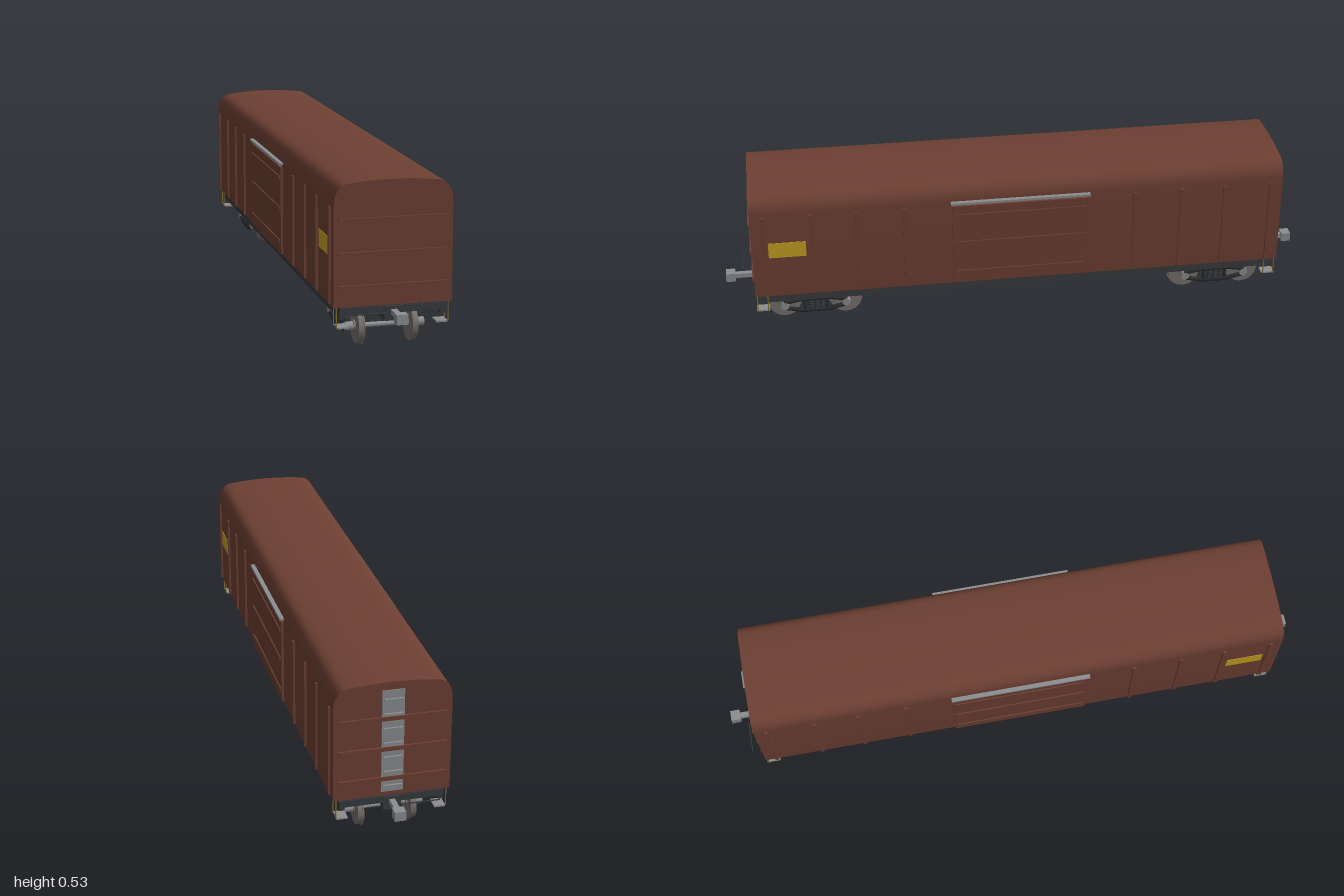
import * as THREE from 'three';
import { toCreasedNormals } from 'three/addons/utils/BufferGeometryUtils.js';

const mat = (color) => new THREE.MeshStandardMaterial({ color });
const brown = mat(0x6e4033), dark = mat(0x383b3e), black = mat(0x2a2b2d);
const steel = mat(0x8c8e90), wheelGrey = mat(0x77716d), yellow = mat(0xc9a224), olive = mat(0x8a7430);

function add(parent, name, geometry, material, x = 0, y = 0, z = 0) {
  const mesh = new THREE.Mesh(geometry, material);
  mesh.name = name;
  mesh.position.set(x, y, z);
  parent.add(mesh);
  return mesh;
}

// Box given by its x, y and z ranges
function box(parent, name, material, [x0, x1], [y0, y1], [z0, z1]) {
  const g = new THREE.BoxGeometry(Math.abs(x1 - x0), y1 - y0, Math.abs(z1 - z0));
  return add(parent, name, g, material, (x0 + x1) / 2, (y0 + y1) / 2, (z0 + z1) / 2);
}

// Cylinder lying along 'x' or 'z'
function rod(parent, name, material, r, length, axis, x, y, z, sides = 16) {
  const g = new THREE.CylinderGeometry(r, r, length, sides);
  if (axis === 'x') g.rotateZ(Math.PI / 2);
  if (axis === 'z') g.rotateX(Math.PI / 2);
  return add(parent, name, g, material, x, y, z);
}

function group(parent, name) {
  const g = new THREE.Group();
  g.name = name;
  parent.add(g);
  return g;
}

// Rounded-roof body shell
function buildBody(parent) {
  const half = [[0.185, 0.145], [0.185, 0.458], [0.183, 0.478], [0.179, 0.491], [0.172, 0.503],
    [0.164, 0.512], [0.154, 0.518], [0.14, 0.522], [0.105, 0.526], [0.07, 0.5285], [0.035, 0.5303]];
  const left = half.map(([x, y]) => [-x, y]).reverse();
  const shape = new THREE.Shape([...half, [0, 0.531], ...left].map(([x, y]) => new THREE.Vector2(x, y)));
  const g = new THREE.ExtrudeGeometry(shape, { depth: 1.8, bevelEnabled: false });
  g.translate(0, 0, -0.9);
  add(parent, 'bodyShell', toCreasedNormals(g, 0.6), brown);

  for (const s of [-1, 1]) {
    // Side ribs and corner posts
    for (const z of [0.39, 0.55, 0.7, 0.86]) for (const e of [-1, 1])
      box(parent, 'sideRib', brown, [s * 0.184, s * 0.192], [0.15, 0.45], [e * z - 0.006, e * z + 0.006]);
    // Sliding door with battens and top rail
    const door = group(parent, 'slidingDoor');
    box(door, 'doorPanel', brown, [s * 0.184, s * 0.193], [0.15, 0.445], [-0.23, 0.23]);
    for (const y of [0.192, 0.306, 0.41])
      box(door, 'doorBatten', brown, [s * 0.192, s * 0.197], [y - 0.005, y + 0.005], [-0.22, 0.22]);
    box(door, 'doorRail', steel, [s * 0.183, s * 0.199], [0.453, 0.461], [-0.235, 0.235]);
    // Side placard
    box(parent, 'placard', yellow, [s * 0.184, s * 0.1865], [0.294, 0.35], [0.72, 0.845]);
    // End battens
    for (const y of [0.206, 0.308, 0.411])
      box(parent, 'endBatten', brown, [-0.17, 0.17], [y - 0.0065, y + 0.0065], [s * 0.899, s * 0.907]);
  }

  // Ladder on the back end
  const ladder = group(parent, 'endLadder');
  box(ladder, 'ladderPanel', steel, [-0.035, 0.035], [0.16, 0.505], [-0.899, -0.903]);
  for (let i = 0; i < 7; i++)
    box(ladder, 'ladderRung', steel, [-0.03, 0.03], [0.18 + i * 0.049, 0.184 + i * 0.049], [-0.902, -0.91]);
}

function buildUnderframe(parent) {
  const frame = group(parent, 'underframe');
  box(frame, 'floor', dark, [-0.165, 0.165], [0.122, 0.146], [-0.898, 0.898]);
  box(frame, 'centreSill', dark, [-0.027, 0.027], [0.097, 0.125], [-0.895, 0.895]);
  for (const s of [-1, 1]) {
    box(frame, 'sideSill', dark, [s * 0.15, s * 0.166], [0.108, 0.146], [-0.898, 0.898]);
    box(frame, 'headstock', dark, [-0.165, 0.165], [0.12, 0.142], [s * 0.885, s * 0.901]);
    // Coupler
    const coupler = group(frame, 'coupler');
    box(coupler, 'couplerPocket', dark, [-0.028, 0.028], [0.097, 0.142], [s * 0.89, s * 0.906]);
    box(coupler, 'couplerShank', steel, [-0.009, 0.009], [0.117, 0.133], [s * 0.9, s * 0.97]);
    box(coupler, 'couplerHead', steel, [-0.018, 0.018], [0.109, 0.14], [s * 0.968, s]);
    rod(coupler, 'uncouplingLever', dark, 0.002, 0.11, 'x', -0.087, 0.132, s * 0.942, 8);
    // Corner steps with hangers
    for (const e of [-1, 1]) {
      box(frame, 'cornerStep', steel, [s * 0.138, s * 0.173], [0.079, 0.084], [e * 0.855, e * 0.9]);
      for (const z of [0.86, 0.895])
        add(frame, 'stepHanger', new THREE.CylinderGeometry(0.002, 0.002, 0.065, 8), olive, s * 0.175, 0.115, e * z);
    }
  }
  // Brake cylinder and air reservoir
  rod(frame, 'airReservoir', steel, 0.025, 0.125, 'z', -0.055, 0.094, -0.063, 24);
  rod(frame, 'brakeCylinder', steel, 0.02, 0.055, 'z', 0.068, 0.092, 0.142, 24);
}

// Two-axle truck centred on its pivot
function buildTruck(parent, z0) {
  const truck = group(parent, 'truck');
  truck.position.z = z0;
  box(truck, 'bolster', dark, [-0.115, 0.115], [0.068, 0.094], [-0.026, 0.026]);
  rod(truck, 'pivot', dark, 0.025, 0.012, 'y', 0, 0.096, 0);

  for (const z of [-0.105, 0.105]) {
    const set = group(truck, 'wheelset');
    rod(set, 'axle', steel, 0.008, 0.25, 'x', 0, 0.059, z);
    for (const s of [-1, 1]) {
      rod(set, 'wheelTread', wheelGrey, 0.054, 0.016, 'x', s * 0.086, 0.059, z, 32);
      rod(set, 'wheelFlange', wheelGrey, 0.058, 0.004, 'x', s * 0.077, 0.059, z, 32);
      rod(set, 'wheelHub', wheelGrey, 0.018, 0.03, 'x', s * 0.085, 0.059, z);
      rod(set, 'axleBox', steel, 0.014, 0.03, 'x', s * 0.11, 0.059, z);
    }
  }

  for (const s of [-1, 1]) {
    const side = group(truck, 'sideFrame');
    // Upper and lower frame bars
    for (const [name, mid, end] of [['upperBar', 0.081, 0.07], ['lowerBar', 0.036, 0.05]]) {
      const pts = [[-0.108, end], [-0.075, (end + mid) / 2], [-0.042, mid], [0, mid], [0.042, mid],
        [0.075, (end + mid) / 2], [0.108, end]];
      const path = new THREE.CatmullRomCurve3(pts.map(([z, y]) => new THREE.Vector3(s * 0.117, y, z)));
      add(side, name, new THREE.TubeGeometry(path, 24, 0.0075, 8), black);
    }
    // Columns and bolster springs
    for (const z of [-0.038, 0.038])
      box(side, 'frameColumn', black, [s * 0.112, s * 0.122], [0.036, 0.081], [z - 0.004, z + 0.004]);
    for (const z of [-0.02, 0, 0.02]) {
      add(side, 'springCore', new THREE.CylinderGeometry(0.005, 0.005, 0.04, 10), black, s * 0.117, 0.058, z);
      for (let i = 0; i < 4; i++) {
        const coil = new THREE.TorusGeometry(0.006, 0.0018, 6, 12).rotateX(Math.PI / 2);
        add(side, 'springCoil', coil, dark, s * 0.117, 0.046 + i * 0.008, z);
      }
    }
  }
}

export function createModel() {
  const model = new THREE.Group();
  model.name = 'boxcar';
  buildBody(group(model, 'body'));
  buildUnderframe(model);
  for (const z of [-0.7, 0.7]) buildTruck(model, z);
  return model;
}
